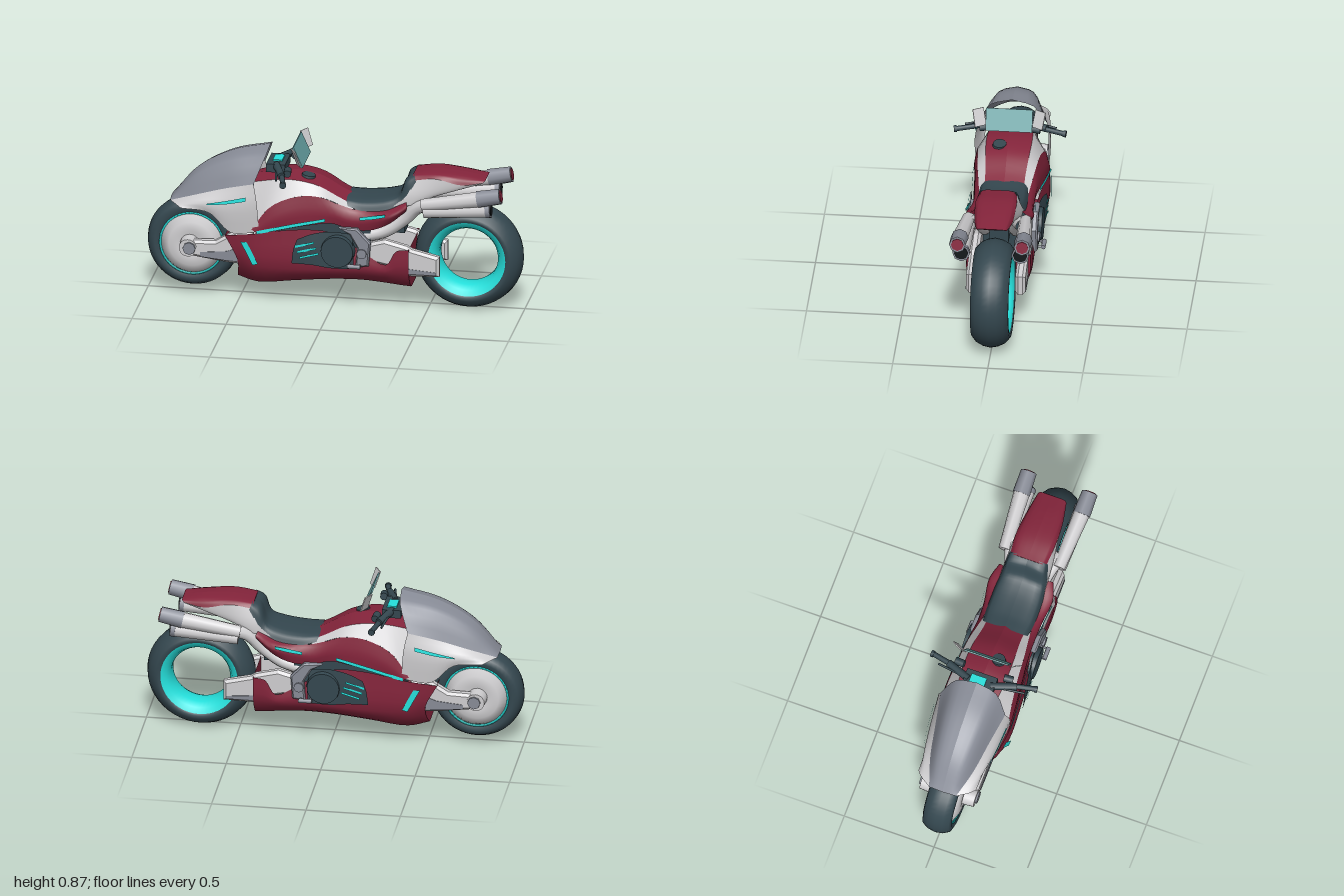
import * as THREE from 'three';

const flat = (name, color, side = THREE.DoubleSide) => {
  const m = new THREE.MeshStandardMaterial({ color, side });
  m.name = name;
  return m;
};
const V = (p) => new THREE.Vector3(...p);

export function createModel() {
  const root = new THREE.Group();
  root.name = 'motorcycle';
  const red = flat('crimson paint', 0x84243b), white = flat('pale paint', 0xcfced0);
  const grey = flat('grey metal', 0x878b96), dark = flat('dark rubber', 0x34474f);
  const cyan = flat('cyan glow', 0x25e0dc), glass = flat('teal glass', 0x68a3a5);
  const black = flat('black opening', 0x15191c);

  const add = (name, geo, mat, pos = [0, 0, 0]) => {
    const m = new THREE.Mesh(geo, mat);
    m.name = name;
    m.position.set(...pos);
    root.add(m);
    return m;
  };

  // Smooth surface through guide rails, mirrored across the centre plane
  function skin(name, mat, rails, { cap = false, n = 18 } = {}) {
    const curves = rails.map((r) => new THREE.CatmullRomCurve3(r.map(V)));
    const rows = rails.length > 2 ? (rails.length - 1) * 3 : 1;
    const grid = [];
    for (let i = 0; i <= n; i++) {
      const across = new THREE.CatmullRomCurve3(curves.map((c) => c.getPoint(i / n)));
      for (let j = 0; j <= rows; j++) grid.push(across.getPoint(j / rows));
    }
    for (const s of [1, -1]) {
      const index = [];
      for (let i = 0; i < n; i++) for (let j = 0; j < rows; j++) {
        const a = i * (rows + 1) + j, b = a + rows + 1;
        if (s > 0) index.push(a, a + 1, b, b, a + 1, b + 1);
        else index.push(a, b, a + 1, b, b + 1, a + 1);
      }
      const geo = new THREE.BufferGeometry().setFromPoints(grid.map((p) => new THREE.Vector3(p.x, p.y, p.z * s)));
      geo.setIndex(index);
      geo.computeVertexNormals();
      add(name, geo, mat);
    }
    if (cap) for (const i of [0, n]) {
      const pts = [], index = [];
      for (let j = 0; j <= rows; j++) {
        const p = grid[i * (rows + 1) + j];
        pts.push(p, new THREE.Vector3(p.x, p.y, -p.z));
        const k = j * 2;
        if (j < rows) index.push(k, k + 1, k + 2, k + 1, k + 3, k + 2);
      }
      const geo = new THREE.BufferGeometry().setFromPoints(pts);
      geo.setIndex(index);
      geo.computeVertexNormals();
      add(name + 'End', geo, mat);
    }
  }

  // Side plate with a bevelled rim, on both sides
  function plate(name, mat, pts, z, depth, bevel = 0.008) {
    const shape = new THREE.Shape(pts.map((p) => new THREE.Vector2(...p)));
    for (const s of [1, -1]) {
      const geo = new THREE.ExtrudeGeometry(shape, {
        depth: depth - 2 * bevel, bevelEnabled: bevel > 0, bevelSize: bevel,
        bevelThickness: bevel, bevelOffset: -bevel, bevelSegments: 1,
      });
      add(name, geo, mat, [0, 0, s > 0 ? z + bevel : -z - depth + bevel]);
    }
  }

  // Straight round bar, on both sides
  function rod(name, mat, a, b, ra, rb = ra, sides = 12) {
    for (const s of [1, -1]) {
      const p = V([a[0], a[1], a[2] * s]), q = V([b[0], b[1], b[2] * s]);
      const d = q.clone().sub(p);
      const m = add(name, new THREE.CylinderGeometry(rb, ra, d.length(), sides), mat);
      m.position.copy(p).add(q).multiplyScalar(0.5);
      m.quaternion.setFromUnitVectors(new THREE.Vector3(0, 1, 0), d.normalize());
    }
  }

  // Turned ring about the axle; points are [radius, z]
  function ring(name, mat, pts, pos) {
    const geo = new THREE.LatheGeometry(pts.map((p) => new THREE.Vector2(...p)), 48);
    geo.rotateX(Math.PI / 2);
    add(name, geo, mat, pos);
  }

  // Wheels
  const F = [-0.757, 0.28, 0], R = [0.707, 0.288, 0];
  ring('frontTyre', dark, [[0.17, -0.07], [0.195, -0.08], [0.22, -0.072], [0.238, -0.04], [0.245, 0],
    [0.238, 0.04], [0.22, 0.072], [0.195, 0.08], [0.17, 0.07]], F);
  ring('frontDisc', white, [[0, -0.08], [0.06, -0.08], [0.075, -0.09], [0.12, -0.085], [0.163, -0.066],
    [0.163, 0.066], [0.12, 0.085], [0.075, 0.09], [0.06, 0.08], [0, 0.08]], F);
  ring('frontGlowRing', cyan, [[0.162, -0.07], [0.173, -0.075], [0.173, 0.075], [0.162, 0.07]], F);
  ring('rearTyre', dark, [[0.205, -0.094], [0.215, -0.1], [0.232, -0.1], [0.262, -0.075], [0.28, -0.04], [0.288, 0],
    [0.28, 0.04], [0.262, 0.075], [0.232, 0.1], [0.215, 0.1], [0.205, 0.094]], R);
  ring('rearHublessRim', cyan, [[0.206, -0.094], [0.175, -0.08], [0.157, -0.04], [0.155, 0],
    [0.157, 0.04], [0.175, 0.08], [0.206, 0.094]], R);

  // Nose and side fairing
  const noseEdge = [[-0.87, 0.515, 0.075], [-0.73, 0.57, 0.12], [-0.57, 0.625, 0.15], [-0.41, 0.67, 0.18]];
  skin('noseShell', grey, [
    [[-0.875, 0.52, 0], [-0.73, 0.69, 0], [-0.55, 0.79, 0], [-0.35, 0.838, 0]],
    [[-0.873, 0.52, 0.045], [-0.73, 0.665, 0.075], [-0.55, 0.76, 0.095], [-0.36, 0.8, 0.11]],
    noseEdge,
  ]);
  skin('sideFairing', white, [
    noseEdge,
    [[-0.83, 0.515, 0.135], [-0.7, 0.54, 0.165], [-0.55, 0.55, 0.185], [-0.39, 0.57, 0.2]],
    [[-0.8, 0.505, 0.16], [-0.65, 0.49, 0.165], [-0.53, 0.39, 0.175], [-0.38, 0.41, 0.19]],
  ]);
  skin('noseGlow', cyan, [
    [[-0.66, 0.545, 0.18], [-0.56, 0.57, 0.192], [-0.45, 0.6, 0.2]],
    [[-0.66, 0.538, 0.18], [-0.56, 0.553, 0.194], [-0.45, 0.578, 0.203]],
  ]);

  // Tank
  const tankEdge = [[-0.42, 0.655, 0.1], [-0.3, 0.68, 0.115], [-0.2, 0.685, 0.12], [-0.08, 0.66, 0.115], [0.03, 0.6, 0.105], [0.1, 0.565, 0.105]];
  const tankLow = [[-0.42, 0.42, 0.19], [-0.32, 0.55, 0.18], [-0.18, 0.61, 0.165], [-0.06, 0.61, 0.155], [0.04, 0.57, 0.14], [0.12, 0.53, 0.13]];
  skin('tankTop', red, [
    [[-0.42, 0.67, 0], [-0.3, 0.695, 0], [-0.2, 0.702, 0], [-0.08, 0.68, 0], [0.03, 0.62, 0], [0.1, 0.585, 0]],
    tankEdge,
  ]);
  skin('tankSide', white, [tankEdge, tankLow]);
  add('fuelCap', new THREE.CylinderGeometry(0.035, 0.038, 0.014, 16), dark, [-0.14, 0.689, 0.045]).rotation.z = -0.18;

  // Upper side body
  skin('upperSidePanel', red, [
    [...tankLow.slice(0, 5), [0.12, 0.545, 0.13], [0.28, 0.55, 0.13], [0.39, 0.6, 0.12]],
    [[-0.4, 0.41, 0.195], [-0.28, 0.49, 0.192], [-0.15, 0.53, 0.178], [0, 0.52, 0.165], [0.1, 0.49, 0.16], [0.2, 0.5, 0.163], [0.32, 0.54, 0.178], [0.4, 0.58, 0.15]],
    [[-0.38, 0.39, 0.19], [-0.25, 0.43, 0.185], [-0.1, 0.46, 0.172], [0, 0.47, 0.16], [0.1, 0.44, 0.15], [0.2, 0.44, 0.15], [0.3, 0.48, 0.15], [0.39, 0.55, 0.13]],
  ], { n: 24 });
  skin('seamGlow', cyan, [
    [[-0.39, 0.417, 0.201], [-0.2, 0.466, 0.194], [-0.03, 0.5, 0.176]],
    [[-0.39, 0.4, 0.203], [-0.2, 0.447, 0.195], [-0.03, 0.483, 0.177]],
  ]);
  skin('rearSideGlow', cyan, [
    [[0.15, 0.515, 0.168], [0.22, 0.53, 0.174], [0.29, 0.545, 0.184]],
    [[0.15, 0.5, 0.17], [0.22, 0.511, 0.176], [0.29, 0.53, 0.185]],
  ]);

  // Seat and tail
  skin('seat', dark, [
    [[0.07, 0.595, 0], [0.15, 0.59, 0], [0.28, 0.605, 0], [0.35, 0.635, 0], [0.39, 0.715, 0], [0.43, 0.742, 0]],
    [[0.07, 0.585, 0.1], [0.15, 0.58, 0.11], [0.28, 0.595, 0.11], [0.35, 0.625, 0.1], [0.385, 0.71, 0.095], [0.43, 0.737, 0.09]],
    [[0.08, 0.56, 0.125], [0.15, 0.54, 0.132], [0.28, 0.55, 0.132], [0.37, 0.59, 0.123], [0.41, 0.66, 0.115], [0.44, 0.71, 0.106]],
  ], { n: 24 });
  const tailEdge = [[0.425, 0.715, 0.1], [0.54, 0.733, 0.108], [0.68, 0.704, 0.1], [0.79, 0.716, 0.08]];
  skin('tailTop', red, [
    [[0.42, 0.742, 0], [0.54, 0.757, 0], [0.68, 0.748, 0], [0.8, 0.727, 0]],
    [[0.42, 0.737, 0.08], [0.54, 0.75, 0.085], [0.68, 0.737, 0.085], [0.8, 0.724, 0.07]],
    tailEdge,
  ], { cap: true });
  const tailLow = [[0.32, 0.572, 0.125], [0.42, 0.585, 0.12], [0.52, 0.625, 0.1], [0.76, 0.7, 0.07]];
  skin('tailSide', white, [
    tailEdge,
    [[0.395, 0.64, 0.12], [0.5, 0.655, 0.118], [0.61, 0.665, 0.1], [0.78, 0.71, 0.08]],
    tailLow,
  ]);
  skin('underTail', grey, [tailLow, tailLow.map(([x, y]) => [x, y - 0.005, 0])]);

  // Lower fairing
  skin('lowerFairing', red, [
    [[-0.565, 0.37, 0.165], [-0.4, 0.4, 0.195], [-0.2, 0.43, 0.182], [0, 0.42, 0.162], [0.15, 0.33, 0.155], [0.29, 0.26, 0.168], [0.345, 0.34, 0.172], [0.41, 0.35, 0.168]],
    [[-0.5, 0.24, 0.16], [-0.4, 0.22, 0.188], [-0.2, 0.21, 0.182], [0, 0.215, 0.17], [0.15, 0.22, 0.168], [0.29, 0.21, 0.168], [0.35, 0.22, 0.168], [0.41, 0.22, 0.162]],
    [[-0.51, 0.12, 0.075], [-0.4, 0.1, 0.1], [-0.2, 0.12, 0.1], [0, 0.14, 0.1], [0.15, 0.145, 0.1], [0.29, 0.135, 0.1], [0.35, 0.127, 0.095], [0.41, 0.12, 0.09]],
    [[-0.51, 0.115, 0], [-0.4, 0.093, 0], [-0.2, 0.112, 0], [0, 0.13, 0], [0.15, 0.135, 0], [0.29, 0.125, 0], [0.35, 0.12, 0], [0.41, 0.115, 0]],
  ], { cap: true, n: 28 });
  skin('ventGlow', cyan, [
    [[-0.478, 0.35, 0.192], [-0.412, 0.225, 0.2]],
    [[-0.443, 0.35, 0.197], [-0.383, 0.235, 0.204]],
  ], { n: 4 });

  // Engine
  add('engineCore', new THREE.BoxGeometry(0.57, 0.3, 0.24), dark, [-0.085, 0.4, 0]);
  add('rearCore', new THREE.BoxGeometry(0.18, 0.18, 0.1), dark, [0.28, 0.49, 0]);
  add('frontCore', new THREE.BoxGeometry(0.38, 0.22, 0.2), dark, [-0.34, 0.54, 0]);
  skin('enginePanel', dark, [
    [[-0.175, 0.385, 0.2], [-0.1, 0.415, 0.19], [0, 0.43, 0.177], [0.11, 0.42, 0.17]],
    [[-0.195, 0.33, 0.203], [-0.1, 0.33, 0.197], [0, 0.32, 0.185], [0.12, 0.33, 0.18]],
    [[-0.205, 0.25, 0.2], [-0.1, 0.245, 0.195], [0, 0.23, 0.186], [0.12, 0.23, 0.18]],
  ]);
  rod('engineCover', dark, [0.035, 0.325, 0.16], [0.035, 0.325, 0.2], 0.092, 0.085, 24);
  plate('engineBracket', grey, [[0.04, 0.455], [0.14, 0.455], [0.21, 0.38], [0.2, 0.25], [0.13, 0.24], [0.14, 0.35], [0.1, 0.42]], 0.15, 0.035);
  rod('pivotCap', grey, [0.165, 0.32, 0.15], [0.165, 0.32, 0.195], 0.026);
  for (let i = 0; i < 3; i++) {
    const x = -0.185 + i * 0.012, y = 0.352 - i * 0.03;
    skin('engineGlow', cyan, [
      [[x, y, 0.209], [x + 0.1, y + 0.026, 0.203]],
      [[x, y - 0.012, 0.209], [x + 0.1, y + 0.014, 0.203]],
    ], { n: 2 });
  }

  // Suspension arms
  plate('rearSwingArm', white, [[0.17, 0.27], [0.17, 0.36], [0.28, 0.39], [0.4, 0.36], [0.43, 0.34], [0.43, 0.2], [0.32, 0.24]], 0.102, 0.054, 0.015);
  plate('rearArmTip', white, [[0.4, 0.195], [0.4, 0.35], [0.57, 0.31], [0.57, 0.2]], 0.102, 0.054, 0.015);
  plate('rearArmInset', grey, [[0.41, 0.212], [0.41, 0.24], [0.555, 0.228], [0.555, 0.212]], 0.15, 0.008, 0);
  plate('frontArm', white, [[-0.78, 0.24], [-0.78, 0.32], [-0.62, 0.325], [-0.52, 0.385], [-0.42, 0.38], [-0.42, 0.2], [-0.56, 0.21]], 0.092, 0.056, 0.014);
  plate('frontArmInset', grey, [[-0.7, 0.237], [-0.7, 0.262], [-0.56, 0.275], [-0.49, 0.3], [-0.47, 0.222], [-0.56, 0.224]], 0.143, 0.008, 0);
  rod('frontAxleEnd', white, [-0.765, 0.28, 0.08], [-0.765, 0.28, 0.15], 0.052, 0.047, 20);
  rod('frontAxleCap', grey, [-0.757, 0.28, 0.13], [-0.757, 0.28, 0.16], 0.036, 0.034, 8);

  // Exhausts
  for (const s of [1, -1]) {
    const path = [[0.55, 0.605, 0.14], [0.45, 0.57, 0.105], [0.37, 0.49, 0.085], [0.27, 0.42, 0.085], [0.17, 0.39, 0.09]];
    const curve = new THREE.CatmullRomCurve3(path.map(([x, y, z]) => V([x, y, z * s])));
    add('exhaustHeader', new THREE.TubeGeometry(curve, 24, 0.036, 10), white);
  }
  rod('upperSilencer', white, [0.48, 0.6, 0.15], [0.8, 0.66, 0.168], 0.034, 0.044, 8);
  rod('upperTip', grey, [0.78, 0.657, 0.168], [0.9, 0.682, 0.17], 0.047, 0.043, 8);
  rod('upperTipOpening', red, [0.899, 0.682, 0.17], [0.904, 0.683, 0.17], 0.033, 0.033, 8);
  rod('lowerSilencer', white, [0.49, 0.565, 0.15], [0.83, 0.598, 0.155], 0.036, 0.044, 8);
  rod('lowerTip', grey, [0.82, 0.597, 0.155], [0.845, 0.6, 0.155], 0.047, 0.046, 8);
  rod('lowerTipOpening', black, [0.844, 0.6, 0.155], [0.849, 0.6, 0.155], 0.037, 0.037, 8);

  // Controls and screen
  add('dashboard', new THREE.BoxGeometry(0.1, 0.045, 0.17), dark, [-0.31, 0.73, 0]);
  add('dashDisplay', new THREE.BoxGeometry(0.05, 0.008, 0.085), cyan, [-0.308, 0.756, -0.01]);
  rod('handlebar', dark, [-0.31, 0.74, 0.06], [-0.26, 0.727, 0.19], 0.02);
  rod('fluidReservoir', dark, [-0.24, 0.735, 0.11], [-0.235, 0.73, 0.16], 0.02);
  rod('grip', dark, [-0.265, 0.725, 0.16], [-0.235, 0.715, 0.285], 0.014);
  rod('gripEnd', dark, [-0.237, 0.715, 0.28], [-0.235, 0.714, 0.295], 0.018);
  rod('lever', dark, [-0.3, 0.735, 0.13], [-0.28, 0.72, 0.24], 0.006);
  add('windscreen', new THREE.BoxGeometry(0.008, 0.12, 0.245), glass, [-0.187, 0.81, 0]).rotation.z = 0.42;
  for (const s of [1, -1]) {
    const mirror = add('mirror', new THREE.BoxGeometry(0.006, 0.095, 0.062), white, [-0.188, 0.82, s * 0.157]);
    mirror.rotation.set(0, s * 0.5, 0.35, 'YXZ');
  }

  // Foot pegs
  for (const x of [0.1, 0.155]) rod('pegArm', grey, [x, 0.255, 0.15], [x, 0.255, 0.212], 0.006, 0.006, 8);
  rod('pegBar', grey, [0.093, 0.255, 0.212], [0.162, 0.255, 0.212], 0.012, 0.012, 8);

  return root;
}
